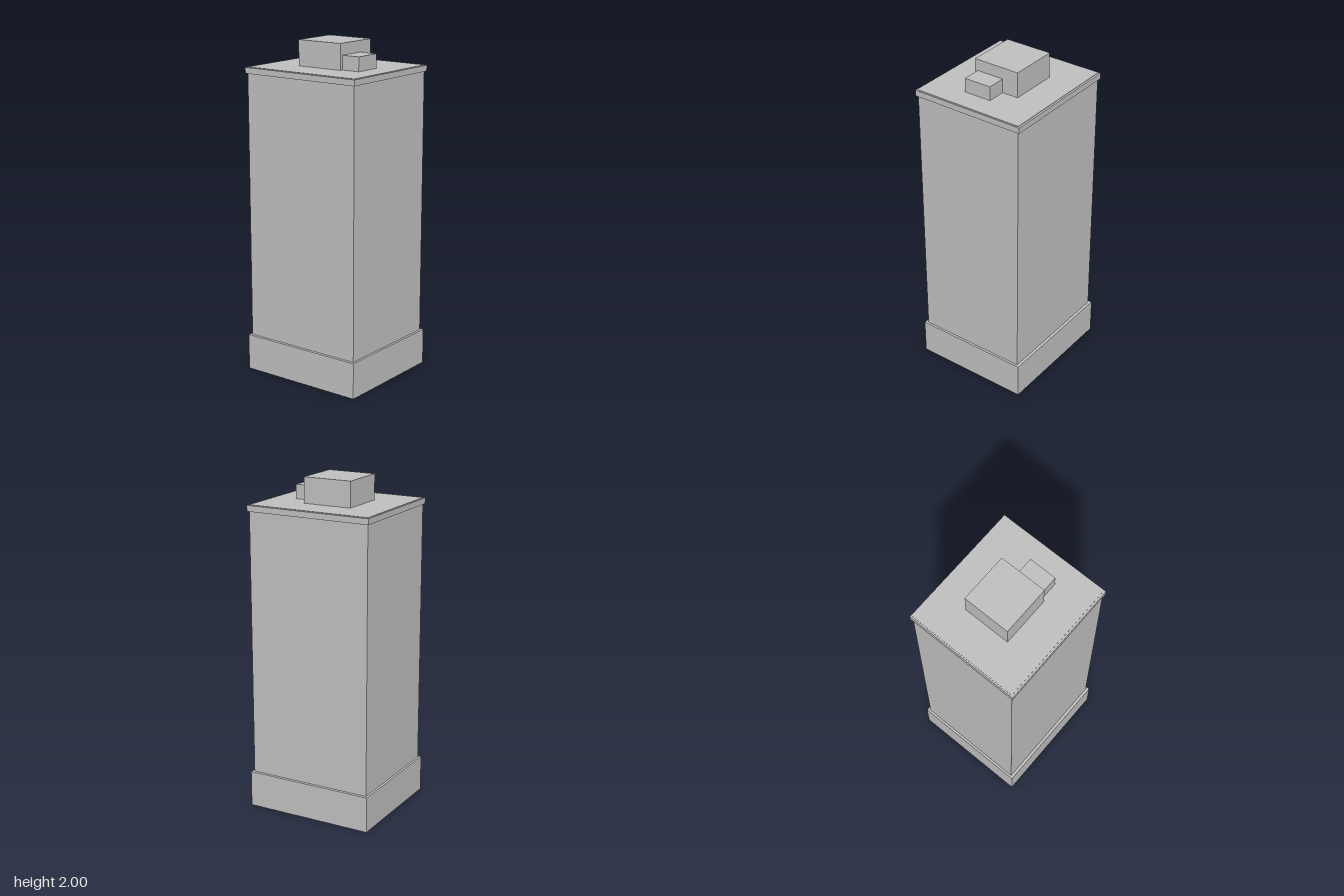
import * as THREE from 'three';

export function createModel() {
  const group = new THREE.Group();
  const concrete = new THREE.MeshStandardMaterial({ color: 0xbfbfbf });
  concrete.name = 'concrete grey';

  // Box given by its extents along each axis
  function block(name, [x0, x1], [y0, y1], [z0, z1]) {
    const mesh = new THREE.Mesh(new THREE.BoxGeometry(x1 - x0, y1 - y0, z1 - z0), concrete);
    mesh.position.set((x0 + x1) / 2, (y0 + y1) / 2, (z0 + z1) / 2);
    mesh.name = name;
    group.add(mesh);
  }

  // Tower: wide plinth, tall shaft, thin cornice with the roof deck just above it
  block('plinth', [-0.395, 0.395], [0, 0.217], [-0.36, 0.36]);
  block('shaft', [-0.381, 0.381], [0.217, 1.81], [-0.342, 0.342]);
  block('cornice', [-0.39, 0.39], [1.81, 1.845], [-0.354, 0.354]);
  block('roofDeck', [-0.381, 0.381], [1.845, 1.848], [-0.342, 0.342]);

  // Rooftop plant rooms
  block('penthouse', [-0.17, 0.131], [1.848, 2], [-0.154, 0.136]);
  block('annex', [0.131, 0.246], [1.848, 1.932], [-0.053, 0.118]);

  return group;
}
